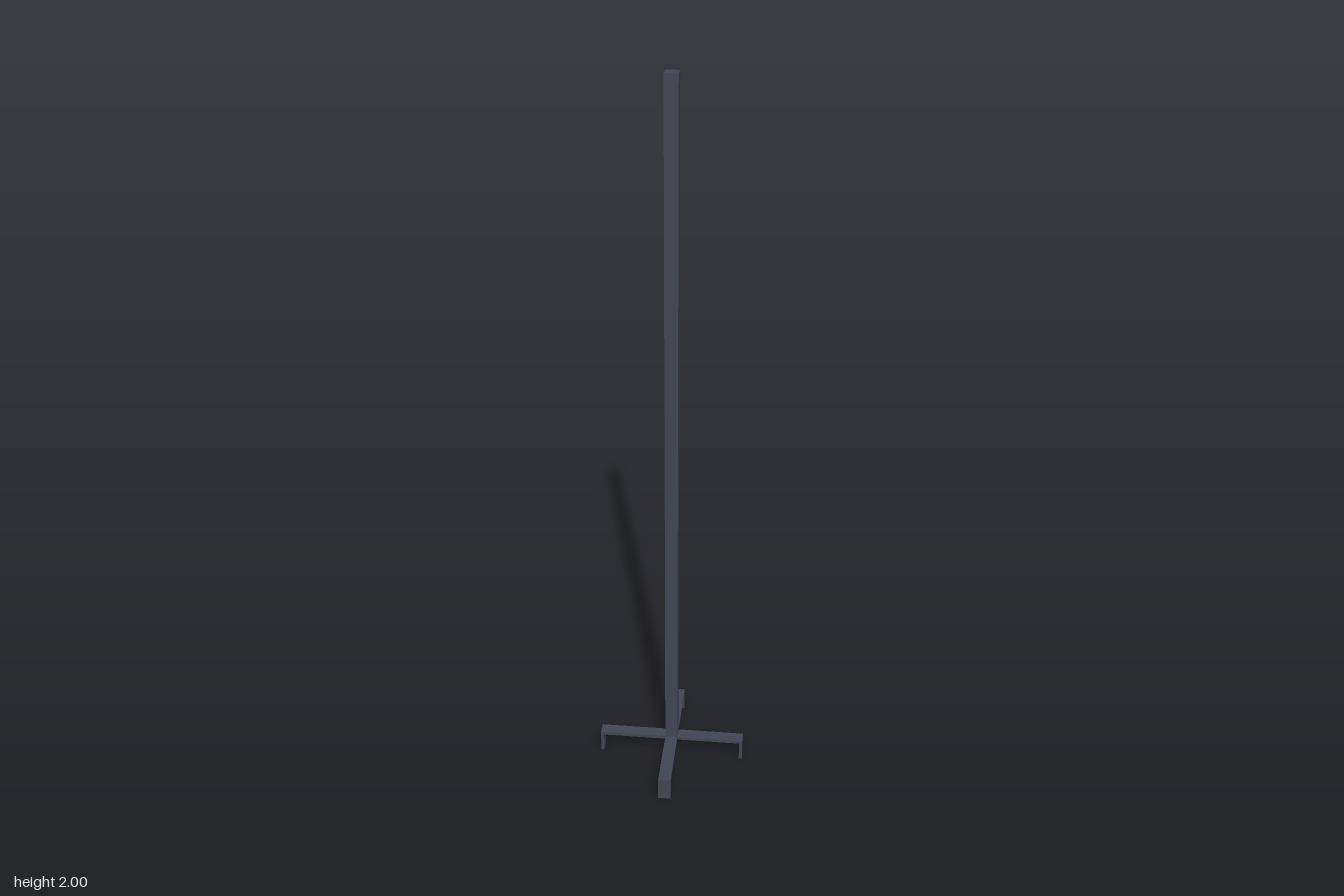
import * as THREE from 'three';

export function createModel() {
  const model = new THREE.Group();
  const metal = new THREE.MeshStandardMaterial({ color: 0x424653 });
  metal.name = 'dark slate metal';

  const WIDTH = 0.035;   // pole and strap width
  const REACH = 0.207;   // centre to outer face of a foot
  const STRAP = 0.009;   // strap thickness
  const DECK = 0.065;    // top of the cross base

  const box = (name, parent, w, h, d, x, y, z) => {
    const mesh = new THREE.Mesh(new THREE.BoxGeometry(w, h, d), metal);
    mesh.name = name;
    mesh.position.set(x, y, z);
    parent.add(mesh);
  };

  // Square pole standing on the cross
  box('pole', model, WIDTH, 2 - DECK, WIDTH, 0, (2 + DECK) / 2, 0);

  // Central plate joining the four arms
  box('hub', model, WIDTH, STRAP, WIDTH, 0, DECK - STRAP / 2, 0);

  // Four flat arms, each bent down into a foot
  const armLength = REACH - WIDTH / 2;
  const footHeight = DECK - STRAP;
  for (let i = 0; i < 4; i++) {
    const leg = new THREE.Group();
    leg.name = 'leg' + (i + 1);
    box('arm', leg, armLength, STRAP, WIDTH, WIDTH / 2 + armLength / 2, DECK - STRAP / 2, 0);
    box('foot', leg, STRAP, footHeight, WIDTH, REACH - STRAP / 2, footHeight / 2, 0);
    leg.rotation.y = i * Math.PI / 2;
    model.add(leg);
  }
  return model;
}
